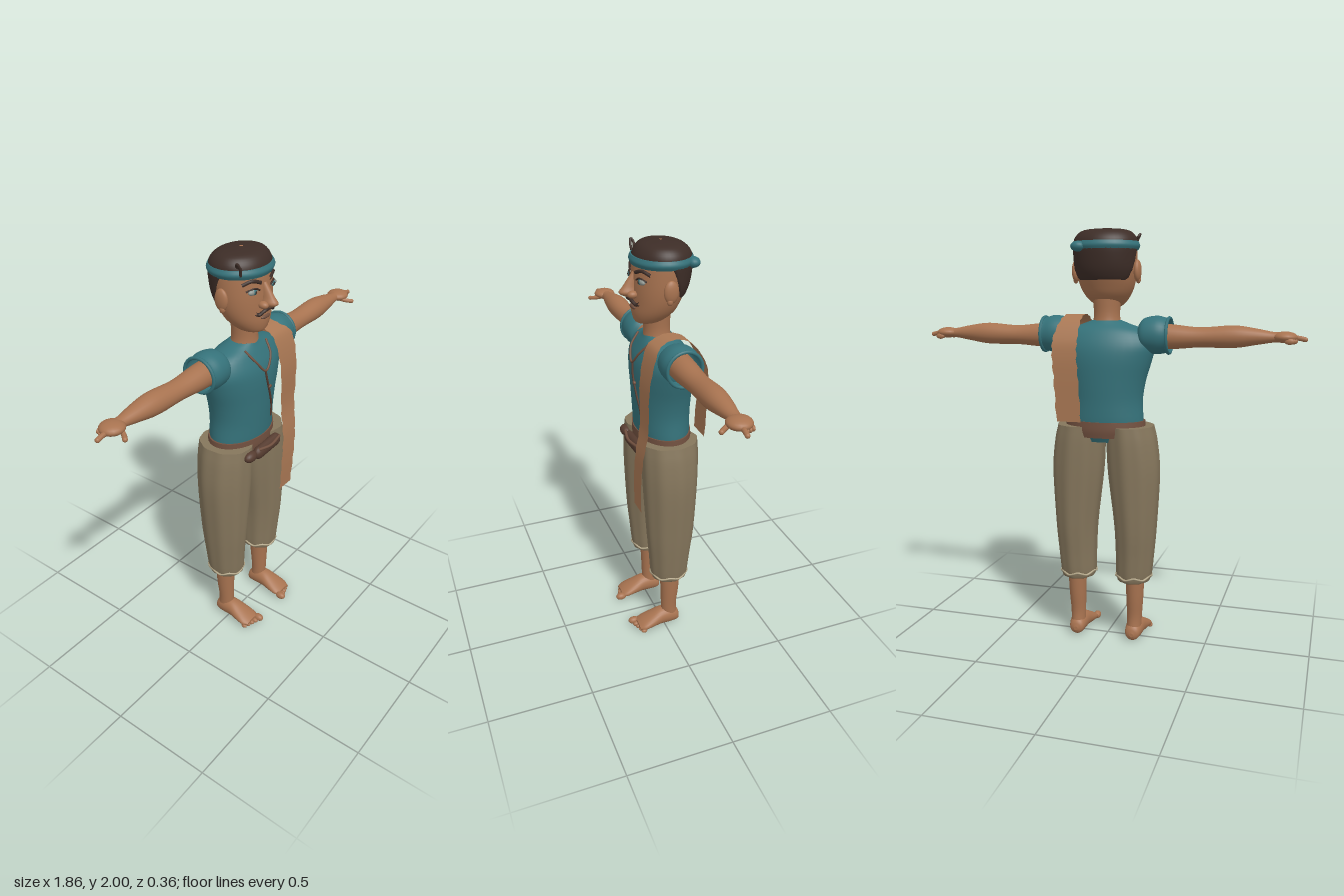
import * as THREE from 'three';

const mat = (name, hex, side = THREE.FrontSide) => {
  const m = new THREE.MeshStandardMaterial({ color: hex, side });
  m.name = name;
  return m;
};

// Loft of elliptical sections [t, centreU, radiusU, minV, maxV], t rising along the axis.
// Axis y: u = x, v = z.  Axis z: u = x, v = y.  Axis x: u = z, v = y.
function loft(axis, sections, { sides = 36, sub = 4, fold = () => 0, warp, caps = true } = {}) {
  const curve = (pick) => new THREE.CatmullRomCurve3(
    sections.map((s) => new THREE.Vector3(...pick(s))), false, 'catmullrom', 0.5);
  const ca = curve((s) => [s[0], s[1], s[2]]), cb = curve((s) => [s[0], s[3], s[4]]);
  const rows = (sections.length - 1) * sub, pos = [], idx = [];
  const flip = axis !== 'z';
  const put = (u, v, t) => pos.push(...(axis === 'y' ? [u, t, v] : axis === 'z' ? [u, v, t] : [t, v, u]));
  const tri = (a, b, c) => (flip ? idx.push(a, c, b) : idx.push(a, b, c));
  const ring = (i) => {
    const A = ca.getPoint(i / rows), B = cb.getPoint(i / rows);
    const mid = (B.y + B.z) / 2, half = Math.abs(B.z - B.y) / 2;
    for (let j = 0; j < sides; j++) {
      const a = (j / sides) * Math.PI * 2, k = 1 + fold(a, A.x);
      const t = warp ? warp(A.x, a) : A.x;
      put(A.y + Math.abs(A.z) * k * Math.cos(a), mid + half * k * Math.sin(a), t);
    }
    return [A.y, mid, A.x];
  };
  for (let i = 0; i <= rows; i++) ring(i);
  for (let i = 0; i < rows; i++) for (let j = 0; j < sides; j++) {
    const a = i * sides + j, b = i * sides + (j + 1) % sides;
    tri(a, b, b + sides);
    tri(a, b + sides, a + sides);
  }
  if (caps) for (const i of [0, rows]) {
    const start = pos.length / 3;
    put(...ring(i));
    const c = start + sides;
    for (let j = 0; j < sides; j++) {
      const a = start + j, b = start + (j + 1) % sides;
      i ? tri(a, b, c) : tri(b, a, c);
    }
  }
  const g = new THREE.BufferGeometry();
  g.setAttribute('position', new THREE.Float32BufferAttribute(pos, 3));
  g.setIndex(idx);
  g.computeVertexNormals();
  return g;
}

// Mirror a geometry in x and keep its faces outward
function mirror(g) {
  g.scale(-1, 1, 1);
  const ix = g.index.array;
  for (let i = 0; i < ix.length; i += 3) [ix[i + 1], ix[i + 2]] = [ix[i + 2], ix[i + 1]];
  g.computeVertexNormals();
  return g;
}

export function createModel() {
  const model = new THREE.Group();
  const skin = mat('skin', 0xa87350), teal = mat('tealCloth', 0x35727a, THREE.DoubleSide);
  const trouser = mat('trouserCloth', 0x85765c), scarfMat = mat('scarfCloth', 0xaa7854, THREE.DoubleSide);
  const hairMat = mat('darkHair', 0x3d2d27, THREE.DoubleSide), brown = mat('brownLeather', 0x71503f);
  const dark = mat('darkLeather', 0x563c30), hemMat = mat('paleHem', 0xb3a688), eyeMat = mat('eyeGrey', 0x8f9690);

  const add = (name, geo, m) => {
    const mesh = new THREE.Mesh(geo, m);
    mesh.name = name;
    model.add(mesh);
    return mesh;
  };
  const ball = (name, m, [x, y, z], [rx, ry, rz]) => {
    const b = add(name, new THREE.SphereGeometry(1, 20, 14), m);
    b.position.set(x, y, z);
    b.scale.set(rx, ry, rz);
    return b;
  };
  const tube = (name, m, pts, r, closed = false) => add(name, new THREE.TubeGeometry(
    new THREE.CatmullRomCurve3(pts.map((p) => new THREE.Vector3(...p)), closed), pts.length * 6, r, 8, closed), m);

  // Shirt, belt and neck
  add('shirt', loft('y', [
    [1.01, 0, 0.165, -0.13, 0.06], [1.08, 0, 0.186, -0.16, 0.085], [1.2, 0, 0.18, -0.165, 0.095],
    [1.3, 0, 0.195, -0.17, 0.1], [1.4, 0, 0.225, -0.172, 0.103], [1.47, 0, 0.238, -0.16, 0.095],
    [1.53, 0, 0.2, -0.13, 0.07], [1.565, 0, 0.11, -0.095, 0.052], [1.58, 0, 0.07, -0.08, 0.045],
  ]), teal);
  add('belt', loft('y', [[1.035, 0, 0.188, -0.165, 0.088], [1.07, 0, 0.196, -0.17, 0.094], [1.11, 0, 0.194, -0.168, 0.094]]), brown);
  add('neck', loft('y', [[1.53, 0, 0.078, -0.09, 0.055], [1.6, 0, 0.062, -0.075, 0.045], [1.7, 0, 0.07, -0.08, 0.05]]), skin);

  // Head
  add('head', loft('y', [
    [1.635, 0, 0.02, 0.02, 0.07], [1.65, 0, 0.065, -0.035, 0.09], [1.69, 0, 0.105, -0.09, 0.1],
    [1.74, 0, 0.13, -0.118, 0.1], [1.8, 0, 0.143, -0.142, 0.1], [1.87, 0, 0.147, -0.16, 0.096],
    [1.92, 0, 0.145, -0.163, 0.09], [1.96, 0, 0.132, -0.148, 0.075], [1.985, 0, 0.095, -0.11, 0.04],
    [1.993, 0, 0.01, -0.04, -0.02],
  ]), skin);
  // Hair, cropped high at the front and lower at the nape
  const hairEdge = (a) => 1.92 - 0.155 * THREE.MathUtils.smoothstep(-Math.sin(a), -0.05, 0.6);
  add('hair', loft('y', [
    [1.76, 0, 0.138, -0.134, 0.104], [1.81, 0, 0.15, -0.156, 0.104], [1.87, 0, 0.153, -0.168, 0.1],
    [1.92, 0, 0.153, -0.171, 0.096], [1.96, 0, 0.143, -0.158, 0.084], [1.99, 0, 0.105, -0.118, 0.05],
    [2.0, 0, 0.008, -0.04, -0.025],
  ], { sides: 48, caps: false, warp: (y, a) => Math.max(y, hairEdge(a)) }), hairMat);
  // Headband with knot and tucked sprig
  add('headband', loft('y', [[1.9, 0, 0.152, -0.17, 0.098], [1.92, 0, 0.161, -0.177, 0.106], [1.94, 0, 0.153, -0.17, 0.098]]), teal);
  ball('headbandKnot', teal, [0.1, 1.915, -0.145], [0.035, 0.024, 0.03]);
  tube('headSprig', hairMat, [[-0.12, 1.92, 0.055], [-0.128, 1.95, 0.06], [-0.142, 1.978, 0.055], [-0.135, 1.965, 0.045], [-0.11, 1.945, 0.05]], 0.006);

  // Face
  add('nose', loft('y', [[1.762, 0, 0.012, 0.08, 0.13], [1.782, 0, 0.028, 0.07, 0.162], [1.81, 0, 0.02, 0.07, 0.143], [1.87, 0, 0.012, 0.07, 0.1]], { sides: 18 }), skin);
  ball('mouth', brown, [0, 1.715, 0.098], [0.032, 0.01, 0.01]);
  for (const s of [1, -1]) {
    ball('nostril', skin, [s * 0.03, 1.778, 0.108], [0.02, 0.017, 0.025]);
    ball('eye', eyeMat, [s * 0.068, 1.842, 0.08], [0.03, 0.014, 0.014]);
    ball('iris', teal, [s * 0.066, 1.842, 0.09], [0.012, 0.012, 0.006]);
    ball('pupil', hairMat, [s * 0.066, 1.842, 0.095], [0.006, 0.007, 0.003]);
    tube('eyelid', hairMat, [[s * 0.038, 1.845, 0.094], [s * 0.068, 1.858, 0.089], [s * 0.1, 1.846, 0.066]], 0.004);
    tube('eyebrow', hairMat, [[s * 0.032, 1.876, 0.095], [s * 0.075, 1.89, 0.08], [s * 0.112, 1.876, 0.054]], 0.008);
    tube('moustache', hairMat, [[0, 1.756, 0.115], [s * 0.028, 1.752, 0.113], [s * 0.05, 1.737, 0.1], [s * 0.062, 1.742, 0.092]], 0.008);
    ball('ear', skin, [s * 0.15, 1.808, -0.025], [0.018, 0.05, 0.034]);
    ball('earLobe', skin, [s * 0.153, 1.768, -0.018], [0.012, 0.018, 0.014]);
  }

  // Cord necklace and shirt opening
  tube('necklace', brown, [[-0.08, 1.563, 0.045], [-0.055, 1.51, 0.09], [0, 1.452, 0.107], [0.055, 1.51, 0.09], [0.08, 1.563, 0.045]], 0.005);
  tube('shirtOpening', dark, [[0, 1.45, 0.103], [0.01, 1.4, 0.106], [0.045, 1.3, 0.1], [0.065, 1.24, 0.092], [0.07, 1.18, 0.086]], 0.005);
  ball('shirtButton', brown, [0.03, 1.36, 0.106], [0.012, 0.009, 0.008]);

  // Arms, hands and sleeves
  for (const s of [1, -1]) {
    const side = (g) => (s > 0 ? g : mirror(g));
    add('sleeve', side(loft('x', [
      [0.165, -0.03, 0.055, 1.455, 1.565], [0.19, -0.03, 0.083, 1.432, 1.592], [0.25, -0.03, 0.09, 1.425, 1.603],
      [0.295, -0.03, 0.083, 1.432, 1.593], [0.31, -0.03, 0.086, 1.428, 1.596],
    ], { caps: false })), teal);
    const cuff = add('sleeveCuff', new THREE.TorusGeometry(0.081, 0.008, 8, 36), teal);
    cuff.rotation.y = Math.PI / 2;
    cuff.position.set(s * 0.305, 1.512, -0.03);
    add('arm', side(loft('x', [
      [0.2, -0.03, 0.06, 1.45, 1.57], [0.32, -0.03, 0.058, 1.45, 1.564], [0.45, -0.03, 0.05, 1.46, 1.552],
      [0.6, -0.03, 0.053, 1.46, 1.562], [0.7, -0.03, 0.042, 1.475, 1.55], [0.78, -0.03, 0.028, 1.488, 1.535], [0.82, -0.03, 0.03, 1.49, 1.535],
    ], { sides: 24 })), skin);
    ball('hand', skin, [s * 0.83, 1.512, -0.028], [0.055, 0.026, 0.054]);
    const finger = (name, pts, r) => {
      tube(name, skin, pts, r);
      ball(name + 'Tip', skin, pts[pts.length - 1], [r, r, r]);
    };
    finger('pointingFinger', [[s * 0.85, 1.508, -0.02], [s * 0.89, 1.508, -0.02], [s * 0.918, 1.502, -0.018]], 0.011);
    finger('thumb', [[s * 0.81, 1.502, 0.0], [s * 0.826, 1.495, 0.03], [s * 0.842, 1.492, 0.05]], 0.011);
    for (let i = 0; i < 3; i++) ball('curledFinger', skin, [s * (0.865 - i * 0.006), 1.495, -0.038 - i * 0.016], [0.022, 0.014, 0.01]);

    // Trousers with soft vertical folds and a pale stitched hem
    add('trouserLeg', loft('y', [
      [0.31, s * 0.143, 0.07, -0.11, 0.05], [0.33, s * 0.143, 0.086, -0.122, 0.064], [0.45, s * 0.148, 0.094, -0.134, 0.075],
      [0.6, s * 0.15, 0.104, -0.15, 0.088], [0.85, s * 0.141, 0.125, -0.165, 0.1], [1.0, s * 0.131, 0.122, -0.17, 0.102],
      [1.085, s * 0.122, 0.112, -0.168, 0.098],
    ], { sides: 64, fold: (a) => 0.018 * Math.cos(9 * a + 0.6) }), trouser);
    const hem = [];
    for (let i = 0; i < 24; i++) {
      const a = (i / 24) * Math.PI * 2;
      hem.push([s * 0.143 + 0.088 * Math.cos(a), 0.337 + 0.006 * Math.sin(6 * a), -0.029 + 0.094 * Math.sin(a)]);
    }
    tube('trouserHem', hemMat, hem, 0.005, true);

    // Bare shins and feet
    add('shin', loft('y', [[0.05, s * 0.146, 0.036, -0.075, 0.01], [0.12, s * 0.147, 0.037, -0.068, 0.012], [0.22, s * 0.149, 0.042, -0.078, 0.015], [0.36, s * 0.15, 0.047, -0.088, 0.022]], { sides: 24 }), skin);
    add('foot', loft('z', [
      [-0.085, s * 0.145, 0.01, 0.025, 0.045], [-0.072, s * 0.145, 0.034, 0.006, 0.075], [-0.03, s * 0.146, 0.043, 0.002, 0.098],
      [0.02, s * 0.146, 0.046, 0.004, 0.097], [0.07, s * 0.146, 0.054, 0.004, 0.075], [0.115, s * 0.146, 0.057, 0.004, 0.052], [0.142, s * 0.143, 0.045, 0.012, 0.035],
    ], { sides: 28 }), skin);
    for (let i = 0; i < 5; i++) {
      const r = i ? 0.0135 - i * 0.0008 : 0.019;
      ball('toe', skin, [s * (i ? 0.108 + i * 0.0215 : 0.104), r + 0.001, 0.152 - i * 0.007], [r, r, r * 1.5]);
    }
  }

  // Waist pouch
  const pouch = add('pouch', new THREE.CapsuleGeometry(0.033, 0.13, 6, 16), dark);
  pouch.rotation.z = Math.PI / 2 + 0.06;
  pouch.position.set(0.015, 1.04, 0.105);
  pouch.scale.z = 0.75;
  tube('pouchFlap', brown, [[-0.07, 1.066, 0.12], [0.01, 1.058, 0.133], [0.1, 1.062, 0.12]], 0.007);
  ball('pouchToggle', dark, [-0.115, 1.045, 0.105], [0.04, 0.026, 0.025]);

  // Scarf over the left shoulder: rows [inner x, outer x, y, z] from back hem to front hem
  const rows = [
    [0.08, 0.2, 1.11, -0.178], [0.09, 0.21, 1.3, -0.183], [0.1, 0.22, 1.42, -0.18], [0.1, 0.22, 1.5, -0.162],
    [0.1, 0.2, 1.58, -0.11], [0.1, 0.19, 1.608, -0.04], [0.1, 0.2, 1.592, 0.035], [0.105, 0.24, 1.545, 0.08],
    [0.115, 0.242, 1.4, 0.11], [0.12, 0.232, 1.2, 0.112], [0.115, 0.218, 1.05, 0.132], [0.1, 0.2, 0.9, 0.138], [0.095, 0.187, 0.75, 0.134],
  ];
  const path = (k) => new THREE.CatmullRomCurve3(rows.map((r) => new THREE.Vector3(r[k], r[2], r[3])), false, 'catmullrom', 0.5);
  const edges = [path(0), path(1)], steps = 72;
  const scarf = new THREE.PlaneGeometry(1, 1, 4, steps), p = scarf.attributes.position, v = new THREE.Vector3();
  for (let i = 0; i <= steps; i++) for (let j = 0; j <= 4; j++) {
    v.lerpVectors(edges[0].getPoint(i / steps), edges[1].getPoint(i / steps), j / 4);
    if (j % 4 === 0) v.x += 0.003 * Math.sin(i * 1.9 + j);
    p.setXYZ(i * 5 + j, v.x, v.y, v.z);
  }
  scarf.computeVertexNormals();
  add('scarf', scarf, scarfMat);

  return model;
}
